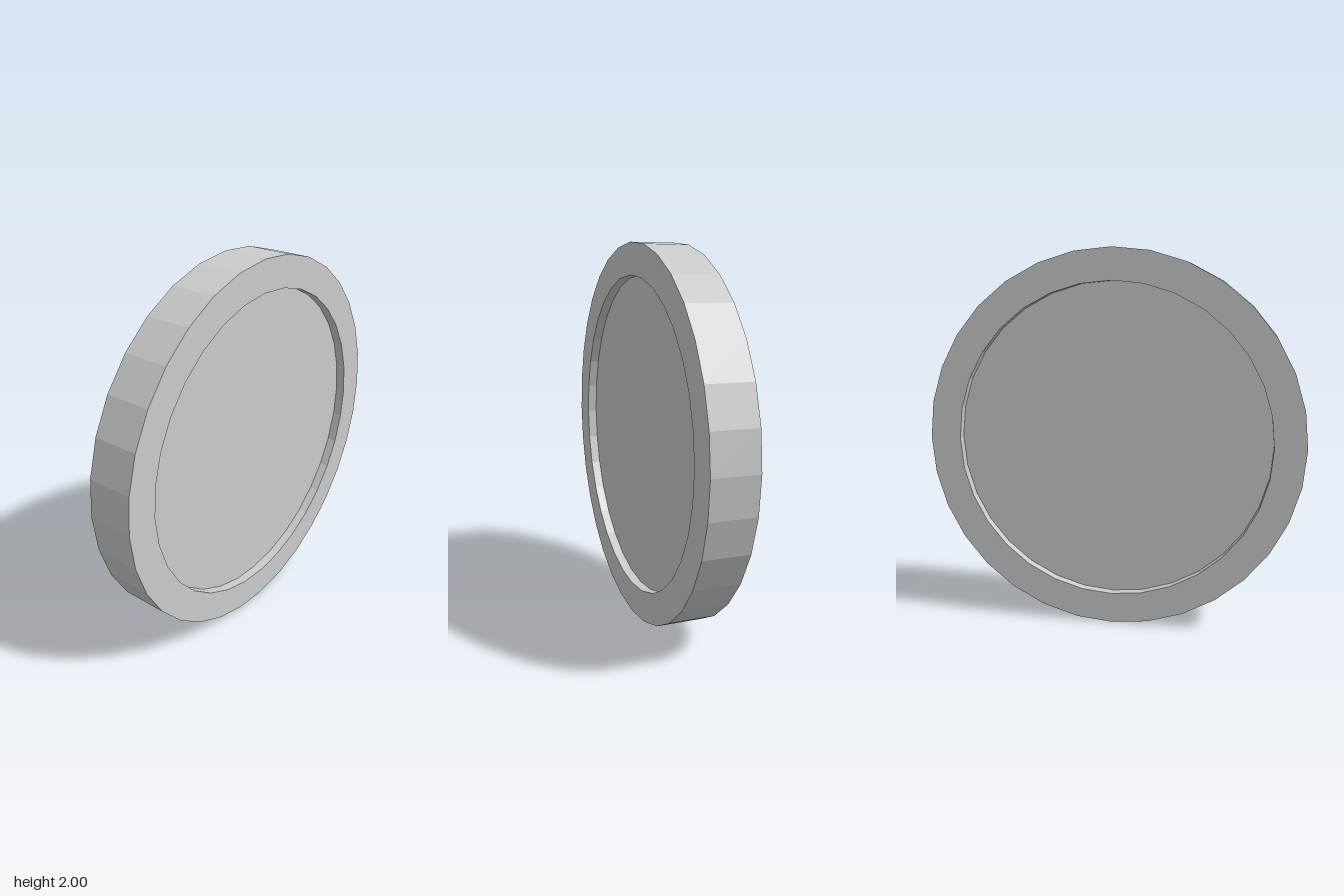
import * as THREE from 'three';

const SIDES = 32;
const OUTER = 1, INNER = 0.835;   // rim radii
const HALF = 0.12, FLOOR = 0.07;  // half thickness of the rim and of the recessed panel

export function createModel() {
  const group = new THREE.Group();
  group.name = 'disc';
  const material = new THREE.MeshStandardMaterial({ color: 0xcccccc, flatShading: true });

  // Raised rim: outer band, both flat rings and both recess walls
  const profile = [
    [INNER, -FLOOR], [INNER, -HALF], [OUTER, -HALF],
    [OUTER, HALF], [INNER, HALF], [INNER, FLOOR],
  ].map(([r, y]) => new THREE.Vector2(r, y));
  const rim = new THREE.Mesh(new THREE.LatheGeometry(profile, SIDES).rotateX(Math.PI / 2), material);
  rim.name = 'rim';
  group.add(rim);

  // Recessed panels, front and back
  for (const side of [1, -1]) {
    const panel = new THREE.Mesh(new THREE.CircleGeometry(INNER, SIDES), material);
    panel.name = side > 0 ? 'frontPanel' : 'backPanel';
    panel.position.z = side * FLOOR;
    if (side < 0) panel.rotation.y = Math.PI;
    group.add(panel);
  }

  group.position.y = OUTER;
  const model = new THREE.Group();
  model.name = 'model';
  model.add(group);
  return model;
}
